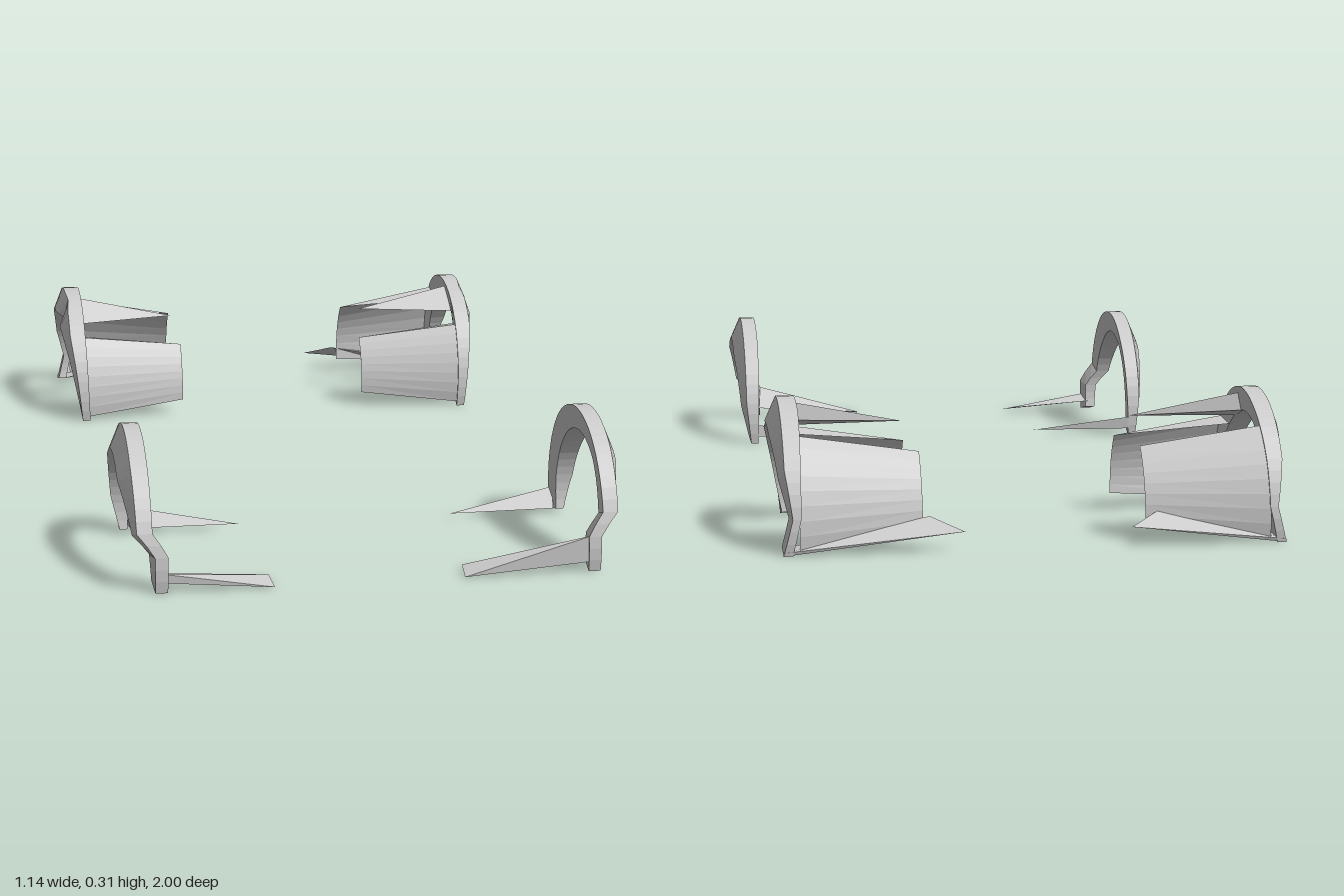
import * as THREE from 'three';
import { ConvexGeometry } from 'three/addons/geometries/ConvexGeometry.js';

const CZ = 0.745, CY = 0.055, R_OUT = 0.255, R_IN = 0.2;
const material = new THREE.MeshStandardMaterial({ color: 0xcccccc, flatShading: true, side: THREE.DoubleSide });

// Linear interpolation through [angle, value...] keys
function sample(keys, t) {
  let i = 1;
  while (i < keys.length - 1 && t > keys[i][0]) i++;
  const a = keys[i - 1], b = keys[i];
  const f = THREE.MathUtils.clamp((t - a[0]) / (b[0] - a[0]), 0, 1);
  return a.slice(1).map((v, k) => THREE.MathUtils.lerp(v, b[k + 1], f));
}

// Point on a wheel arch: 0 degrees faces the front, 90 is the top
function arcPoint(x, radius, deg, cz) {
  const a = THREE.MathUtils.degToRad(deg);
  return [x, CY + radius * Math.sin(a), cz + radius * Math.cos(a)];
}

// Join rows of equal length into a surface
function loft(rows, closed, flip) {
  const n = rows[0].length, index = [];
  const quad = (a, b, c, d) => (flip ? index.push(a, c, b, a, d, c) : index.push(a, b, c, a, c, d));
  for (let i = 0; i < rows.length - 1; i++) {
    for (let j = 0; j < (closed ? n : n - 1); j++) {
      const k = (j + 1) % n;
      quad(i * n + j, i * n + k, (i + 1) * n + k, (i + 1) * n + j);
    }
  }
  if (closed) {
    const e = (rows.length - 1) * n;
    quad(3, 2, 1, 0);
    quad(e, e + 1, e + 2, e + 3);
  }
  const g = new THREE.BufferGeometry();
  g.setAttribute('position', new THREE.Float32BufferAttribute(rows.flat(2), 3));
  g.setIndex(index);
  g.computeVertexNormals();
  return g;
}

function part(name, geometry) {
  const m = new THREE.Mesh(geometry, material);
  m.name = name;
  return m;
}

// Solid blade through a few corner points
function blade(name, side, points) {
  return part(name, new ConvexGeometry(points.map(([x, y, z]) => new THREE.Vector3(side * x, y, z))));
}

// Arch rim; keys hold angle, inner tread x, outer tread x, outer lip x, inner lip x
function rim(side, cz, keys) {
  const rows = [], steps = 34;
  for (let i = 0; i <= steps; i++) {
    const t = -12 + (204 * i) / steps;
    const [xi, xo, lip, back] = sample(keys, t);
    rows.push([[xi, R_OUT], [xo, R_OUT], [lip, R_IN], [back, R_IN]]
      .map(([x, r]) => arcPoint(side * x, r, t, cz)));
  }
  return part('archRim', loft(rows, true, side > 0));
}

// Conical liner panel narrowing inwards, closed at its upper end by a folded web
function liner(name, side, back, outerEnd, innerEnd) {
  const rows = [], steps = 8;
  const place = (x, r, t) => arcPoint(side * x, r, back ? 180 - t : t, -CZ);
  for (let i = 0; i <= steps; i++) {
    const f = i / steps;
    rows.push([
      place(0.515, 0.252, THREE.MathUtils.lerp(-10, outerEnd, f)),
      place(0.245, R_IN, THREE.MathUtils.lerp(-5, innerEnd, f)),
    ]);
  }
  rows.push([place(0.515, R_IN, outerEnd + 9), place(0.245, R_IN, innerEnd)]);
  return part(name, loft(rows, false, (side > 0) !== back));
}

function frontArch(side) {
  const g = new THREE.Group();
  g.name = side > 0 ? 'frontLeftArch' : 'frontRightArch';
  g.add(rim(side, CZ, [
    [-12, 0.465, 0.492, 0.495, 0.47],
    [7, 0.463, 0.492, 0.5, 0.47],
    [18, 0.496, 0.53, 0.535, 0.5],
    [55, 0.496, 0.533, 0.558, 0.505],
    [125, 0.496, 0.533, 0.558, 0.505],
    [168, 0.5, 0.533, 0.545, 0.505],
    [192, 0.503, 0.522, 0.525, 0.507],
  ]));
  // Forward blade, longer and taller on the left
  const tip = side > 0 ? 0.187 : 0.233, top = side > 0 ? 0.085 : 0.045;
  g.add(blade('forwardBlade', side, [
    [0.475, top, 0.996], [0.485, 0.025, 0.994], [0.475, 0.03, 0.94],
    [tip, 0.003, 0.994], [tip + 0.005, 0.014, 0.938],
  ]));
  // Spike behind the wheel
  g.add(blade('rearSpike', side, [
    [0.51, 0.052, 0.493], [0.51, 0.02, 0.494], [0.5, 0.014, 0.548], [0.25, 0.013, 0.547],
  ]));
  return g;
}

function rearArch(side) {
  const g = new THREE.Group();
  g.name = side > 0 ? 'rearLeftArch' : 'rearRightArch';
  g.add(rim(side, -CZ, [
    [-12, 0.5, 0.52, 0.52, 0.505],
    [10, 0.503, 0.53, 0.535, 0.507],
    [40, 0.505, 0.545, 0.555, 0.51],
    [62, 0.505, 0.545, 0.567, 0.515],
    [72, 0.505, 0.54, 0.55, 0.515],
    [82, 0.505, 0.545, 0.57, 0.515],
    [115, 0.505, 0.545, 0.568, 0.515],
    [150, 0.51, 0.545, 0.555, 0.515],
    [174, 0.512, 0.53, 0.535, 0.515],
    [192, 0.53, 0.55, 0.55, 0.53],
  ]));
  g.add(liner('frontLiner', side, false, 40, 39), liner('backLiner', side, true, 50, 48));
  // Spike under the crown of the arch
  g.add(blade('crownSpike', side, [
    arcPoint(0.52, R_IN, 62, -CZ), arcPoint(0.52, 0.242, 81, -CZ),
    arcPoint(0.52, R_IN, 80, -CZ), arcPoint(0.26, 0.196, 71, -CZ),
  ]));
  // Low tilted blade at the tail end
  const tip = side > 0 ? 0.16 : 0.205;
  g.add(blade('tailBlade', side, [
    [0.55, 0.01, -0.996], [0.55, 0.002, -0.993], [0.53, 0.013, -0.942],
    [tip, 0.046, -0.998], [tip + 0.07, 0.072, -0.945],
  ]));
  return g;
}

export function createModel() {
  const model = new THREE.Group();
  model.name = 'wheelArchFlares';
  for (const side of [1, -1]) model.add(frontArch(side), rearArch(side));
  return model;
}
